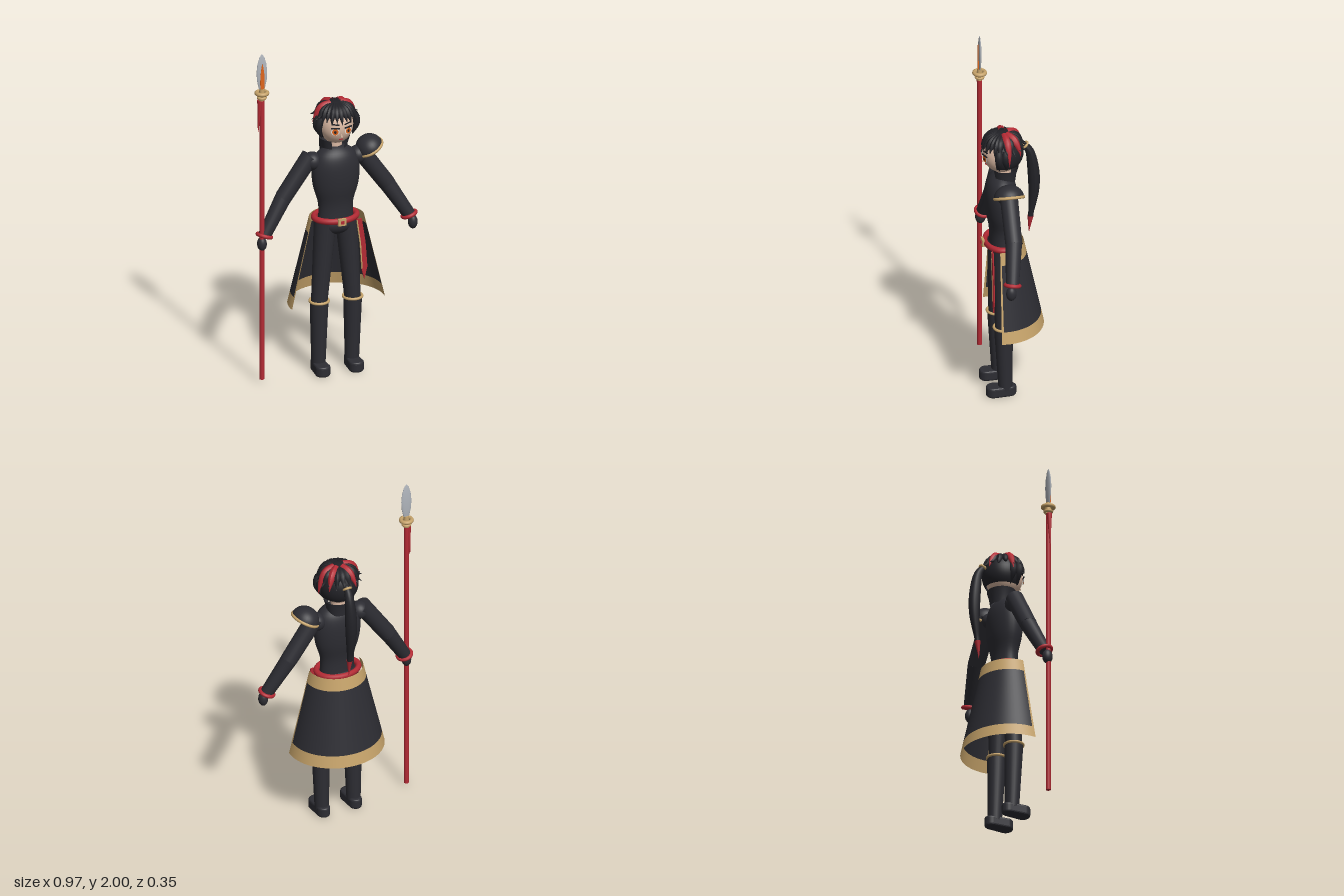
import * as THREE from 'three';

const mat = (name, color, side = THREE.FrontSide) => {
  const m = new THREE.MeshStandardMaterial({ color, side });
  m.name = name;
  return m;
};
const V = (x, y, z) => new THREE.Vector3(x, y, z);

export function createModel() {
  const cloth = mat('black cloth', 0x2d2d33, THREE.DoubleSide);
  const hair = mat('black hair', 0x222227, THREE.DoubleSide);
  const red = mat('red', 0xb32a34, THREE.DoubleSide);
  const gold = mat('gold', 0xc6a36a, THREE.DoubleSide);
  const skin = mat('skin', 0xdcbaa4);
  const white = mat('eye white', 0xf2efec, THREE.DoubleSide);
  const orange = mat('orange', 0xe0661c, THREE.DoubleSide);
  const steel = mat('steel', 0xb0b5bc);

  const model = new THREE.Group();
  const body = new THREE.Group();
  body.name = 'body';
  body.position.x = 0.005;
  model.add(body);

  const add = (name, geo, material, pos = [0, 0, 0], scale = [1, 1, 1], parent = body) => {
    const m = new THREE.Mesh(geo, material);
    m.name = name;
    m.position.set(...pos);
    m.scale.set(...scale);
    parent.add(m);
    return m;
  };
  const ball = (name, material, pos, scale, parent) =>
    add(name, new THREE.SphereGeometry(1, 28, 20), material, pos, scale, parent);
  const up = V(0, 1, 0);
  // tapered cylinder between two points
  const rod = (name, material, a, b, ra, rb, parent) => {
    const d = b.clone().sub(a);
    const m = add(name, new THREE.CylinderGeometry(rb, ra, d.length(), 24), material,
      a.clone().add(b).multiplyScalar(0.5).toArray(), [1, 1, 1], parent);
    m.quaternion.setFromUnitVectors(up, d.normalize());
    return m;
  };
  // ring around an axis
  const ring = (name, material, pos, axis, r, tube, parent) => {
    const m = add(name, new THREE.TorusGeometry(r, tube, 10, 36), material, pos, [1, 1, 1], parent);
    m.quaternion.setFromUnitVectors(V(0, 0, 1), axis.clone().normalize());
    return m;
  };
  // tube whose radius follows radius(u), u from 0 to 1
  const lock = (name, material, pts, radius, seg = 14, sides = 8) => {
    const curve = new THREE.CatmullRomCurve3(pts);
    const geo = new THREE.TubeGeometry(curve, seg, 1, sides);
    const p = geo.attributes.position, v = V(0, 0, 0);
    for (let i = 0; i < p.count; i++) {
      const u = Math.floor(i / (sides + 1)) / seg, c = curve.getPointAt(u);
      v.fromBufferAttribute(p, i).sub(c).multiplyScalar(radius(u)).add(c);
      p.setXYZ(i, v.x, v.y, v.z);
    }
    geo.computeVertexNormals();
    return add(name, geo, material);
  };
  const lathe = (pts, seg = 36, start = 0, len = Math.PI * 2) =>
    new THREE.LatheGeometry(pts.map(([r, y]) => new THREE.Vector2(r, y)), seg, start, len);

  // torso
  const profile = new THREE.SplineCurve([[0.105, 0.9], [0.1, 0.98], [0.106, 1.04], [0.13, 1.12], [0.14, 1.2],
    [0.135, 1.27], [0.11, 1.325], [0.06, 1.36], [0.001, 1.375]].map(p => new THREE.Vector2(...p)));
  add('torso', new THREE.LatheGeometry(profile.getPoints(28), 36), cloth, [0, 0, 0.065], [1, 1, 0.65]);
  ball('hips', cloth, [0, 0.9, 0.065], [0.115, 0.07, 0.078]);
  rod('neck', skin, V(0, 1.33, 0.05), V(0, 1.43, 0.05), 0.042, 0.042);
  add('collar', lathe([[0.068, 1.325], [0.075, 1.37], [0.088, 1.412]], 32, 0.5, Math.PI * 2 - 1), cloth,
    [0, 0, 0.045], [1, 1, 0.9]);

  // belt, buckle and sash
  const belt = ring('belt', red, [0, 0.935, 0.06], up, 0.123, 0.018);
  belt.scale.y = 0.76;
  add('buckle', new THREE.BoxGeometry(0.046, 0.042, 0.014), gold, [0, 0.935, 0.168]);
  add('buckleCentre', new THREE.BoxGeometry(0.02, 0.018, 0.006), red, [0, 0.935, 0.176]);
  const strip = (name, material, pts, z) => add(name, new THREE.ExtrudeGeometry(
    new THREE.Shape(pts.map(p => new THREE.Vector2(...p))), { depth: 0.008, bevelEnabled: false }), material, [0, 0, z]);
  strip('sash', red, [[0.098, 0.925], [0.13, 0.925], [0.152, 0.78], [0.163, 0.63], [0.145, 0.555], [0.128, 0.62], [0.118, 0.78]], 0.13);
  strip('sashTrim', gold, [[0.098, 0.92], [0.104, 0.92], [0.124, 0.78], [0.134, 0.62], [0.128, 0.62], [0.117, 0.78]], 0.132);

  // open-fronted skirt with gold bands
  const skirtR = y => 0.157 + (0.94 - y) * 0.235;
  const skirtBand = (name, material, y0, y1, start, len, grow = 0) =>
    add(name, lathe([[skirtR(y0) + grow, y0], [skirtR(y1) + grow, y1]], 40, start, len), material,
      [0, 0, 0.082], [1, 1, 0.92]);
  const s0 = Math.PI - 1.64, sLen = 3.28;
  skirtBand('skirt', cloth, 0.49, 0.868, s0, sLen);
  skirtBand('skirtTopBand', gold, 0.868, 0.94, s0, sLen);
  skirtBand('skirtHemBand', gold, 0.42, 0.49, s0, sLen);
  for (const s of [s0 - 0.05, s0 + sLen]) skirtBand('skirtFrontEdge', gold, 0.42, 0.94, s, 0.05);

  // legs and arms, mirrored
  for (const s of [-1, 1]) {
    const side = s < 0 ? 'right' : 'left';
    rod(side + 'Thigh', cloth, V(s * 0.062, 0.92, 0.066), V(s * 0.1, 0.42, 0.07), 0.064, 0.046);
    rod(side + 'Boot', cloth, V(s * 0.1, 0.04, 0.058), V(s * 0.1, 0.432, 0.07), 0.04, 0.053);
    ring(side + 'BootTrim', gold, [s * 0.1, 0.433, 0.07], up, 0.053, 0.008);
    // rounded shoe
    const sole = new THREE.Shape();
    sole.absellipse(0, 0.045, 0.032, 0.03, 0, Math.PI);
    sole.absellipse(0, -0.045, 0.026, 0.03, Math.PI, Math.PI * 2);
    const shoe = add(side + 'Shoe', new THREE.ExtrudeGeometry(sole, { depth: 0.036, bevelEnabled: true,
      bevelSize: 0.011, bevelThickness: 0.013, bevelSegments: 3, curveSegments: 16 }), cloth, [s * 0.1, 0.049, 0.083]);
    shoe.rotation.x = Math.PI / 2;

    const shoulder = V(s * 0.157, 1.298, 0.05), elbow = V(s * 0.308, 1.085, 0.052), wrist = V(s * 0.432, 0.885, 0.083);
    rod(side + 'UpperArm', cloth, shoulder.clone().add(V(-s * 0.012, 0.017, 0)), elbow, 0.051, 0.048);
    ball(side + 'Shoulder', cloth, [s * 0.135, 1.285, 0.055], [0.052, 0.052, 0.055]);
    ball(side + 'Elbow', cloth, elbow.toArray(), [0.046, 0.046, 0.046]);
    rod(side + 'Forearm', cloth, elbow, wrist, 0.047, 0.037);
    ring(side + 'Cuff', red, wrist.toArray(), wrist.clone().sub(elbow).setX(s * 0.07), 0.04, 0.011);
    ball(side + 'Hand', cloth, [s * 0.45, 0.842, 0.093], [0.027, 0.042, 0.03]);
  }

  // shoulder guard on the left
  const guard = new THREE.Group();
  guard.name = 'shoulderGuard';
  guard.position.set(0.205, 1.318, 0.058);
  guard.rotation.z = 0.49;
  body.add(guard);
  add('guardDome', new THREE.SphereGeometry(1, 32, 12, 0, Math.PI * 2, 0, Math.PI / 2), cloth, [0, 0, 0], [0.079, 0.075, 0.085], guard);
  const rim = ring('guardRim', gold, [0, 0, 0], up, 0.082, 0.009, guard);
  rim.scale.x = 0.93;

  // head and face
  ball('head', skin, [0, 1.5, 0.06], [0.1, 0.116, 0.108]);
  for (const s of [-1, 1]) {
    const eye = new THREE.Group();
    eye.name = s < 0 ? 'rightEye' : 'leftEye';
    eye.position.set(s * 0.038, 1.488, 0.163);
    eye.rotation.y = s * 0.36;
    body.add(eye);
    add('eyeWhite', new THREE.CircleGeometry(0.024, 24), white, [0, 0, 0.001], [1, 0.85, 1], eye);
    add('iris', new THREE.CircleGeometry(0.018, 24), orange, [0, 0, 0.003], [1, 1, 1], eye);
    add('pupil', new THREE.CircleGeometry(0.008, 16), hair, [0, 0, 0.005], [1, 1, 1], eye);
    add('lash', new THREE.BoxGeometry(0.05, 0.007, 0.006), hair, [0, 0.021, 0.002], [1, 1, 1], eye);
    add('brow', new THREE.BoxGeometry(0.044, 0.006, 0.006), hair, [0, 0.042, -0.004], [1, 1, 1], eye).rotation.z = s * 0.12;
  }
  add('nose', new THREE.ConeGeometry(0.007, 0.02, 8), skin, [0, 1.462, 0.164]);
  add('mouth', new THREE.BoxGeometry(0.022, 0.005, 0.006), red, [0, 1.434, 0.15]);

  // hair cap: crown plus back shell
  const cap = [0.117, 0.122, 0.12];
  add('hairCrown', new THREE.SphereGeometry(1, 32, 12, 0, Math.PI * 2, 0, 1.0), hair, [0, 1.508, 0.056], cap);
  add('hairBack', new THREE.SphereGeometry(1, 32, 16, Math.PI / 2 + 1.05, Math.PI * 2 - 2.1, 0, 2.2), hair, [0, 1.508, 0.056], cap);
  const spike = u => 0.004 + 0.021 * Math.sin(Math.PI * Math.min(1, 0.25 + u * 0.75)) * (1 - u * u * 0.4) - 0.004 * u;
  // lock running from crown at angle a (0 = front) to a tip
  const strand = (name, material, a, tipR, tipY, lift = 0) => {
    const at = (r, y) => V(Math.sin(a) * r, y, 0.056 + Math.cos(a) * r);
    return lock(name, material, [at(0.025, 1.613 + lift), at(0.082, 1.592 + lift),
      at(0.115 + lift, (1.568 + tipY) / 2), at(tipR, tipY)], spike);
  };
  for (let i = 0; i < 9; i++) strand('fringeLock', hair, (i - 4) * 0.25, 0.118, 1.525 + 0.012 * (i % 2));
  for (let i = 0; i < 12; i++) {
    const a = 1.25 + i * (Math.PI * 2 - 2.5) / 11;
    strand('crownLock', hair, a, 0.14, 1.535 + 0.015 * (i % 2));
  }
  for (const s of [-1, 1]) for (const a of [1.15, 1.55])
    lock('sideLock', hair, [V(s * 0.1, 1.56, 0.056 + 0.1 * Math.cos(a)), V(s * 0.112, 1.5, 0.056 + 0.1 * Math.cos(a)),
      V(s * 0.09, 1.425, 0.05 + 0.1 * Math.cos(a))], spike);
  for (const [a, r, y] of [[1.7, 0.13, 1.47], [-1.6, 0.13, 1.5], [-2.7, 0.13, 1.52], [2.3, 0.128, 1.51]])
    strand('redLock', red, a, r, y, 0.009);

  // ponytail with red tip
  const tail = [V(0.005, 1.545, -0.06), V(0.007, 1.5, -0.095), V(0.007, 1.38, -0.118),
    V(0.007, 1.25, -0.122), V(0.007, 1.12, -0.108), V(0.007, 1.07, -0.102)];
  lock('ponytail', hair, tail, u => 0.016 + 0.018 * Math.sin(Math.PI * Math.min(1, u * 1.05 + 0.02)) - 0.001 * u, 24, 14);
  lock('ponytailTip', red, [V(0.007, 1.08, -0.103), V(0.007, 1.03, -0.098), V(0.007, 0.975, -0.094)],
    u => 0.017 * (1 - u) + 0.0005, 8, 14);
  ring('ponytailBand', gold, [0.005, 1.535, -0.07], V(0, 0.75, 0.66), 0.02, 0.007);

  // spear
  const spear = new THREE.Group();
  spear.name = 'spear';
  spear.position.set(-0.447, 0, 0.097);
  model.add(spear);
  rod('shaft', red, V(0, 0.02, 0), V(0, 1.75, 0), 0.014, 0.014, spear);
  ring('upperCollar', gold, [0, 1.763, 0], up, 0.03, 0.012, spear);
  ring('lowerCollar', gold, [0, 1.735, 0], up, 0.019, 0.009, spear);
  rod('socket', gold, V(0, 1.72, 0), V(0, 1.79, 0), 0.018, 0.014, spear);
  const blade = [[0.001, 1.77], [0.018, 1.79], [0.029, 1.84], [0.032, 1.89], [0.027, 1.94], [0.015, 1.98], [0.001, 2]];
  add('blade', lathe(blade, 24), steel, [0, 0, 0], [1, 1, 0.28], spear);
  const inlay = new THREE.Shape();
  inlay.moveTo(-0.01, 1.79);
  inlay.lineTo(0.01, 1.79);
  inlay.quadraticCurveTo(0.018, 1.87, 0, 1.945);
  inlay.quadraticCurveTo(-0.018, 1.87, -0.01, 1.79);
  add('bladeInlay', new THREE.ExtrudeGeometry(inlay, { depth: 0.006, bevelEnabled: false }), orange, [0, 0, 0.0045], [1, 1, 1], spear);
  rod('tassel', red, V(-0.012, 1.72, 0), V(-0.022, 1.53, 0), 0.015, 0.002, spear);
  return model;
}
